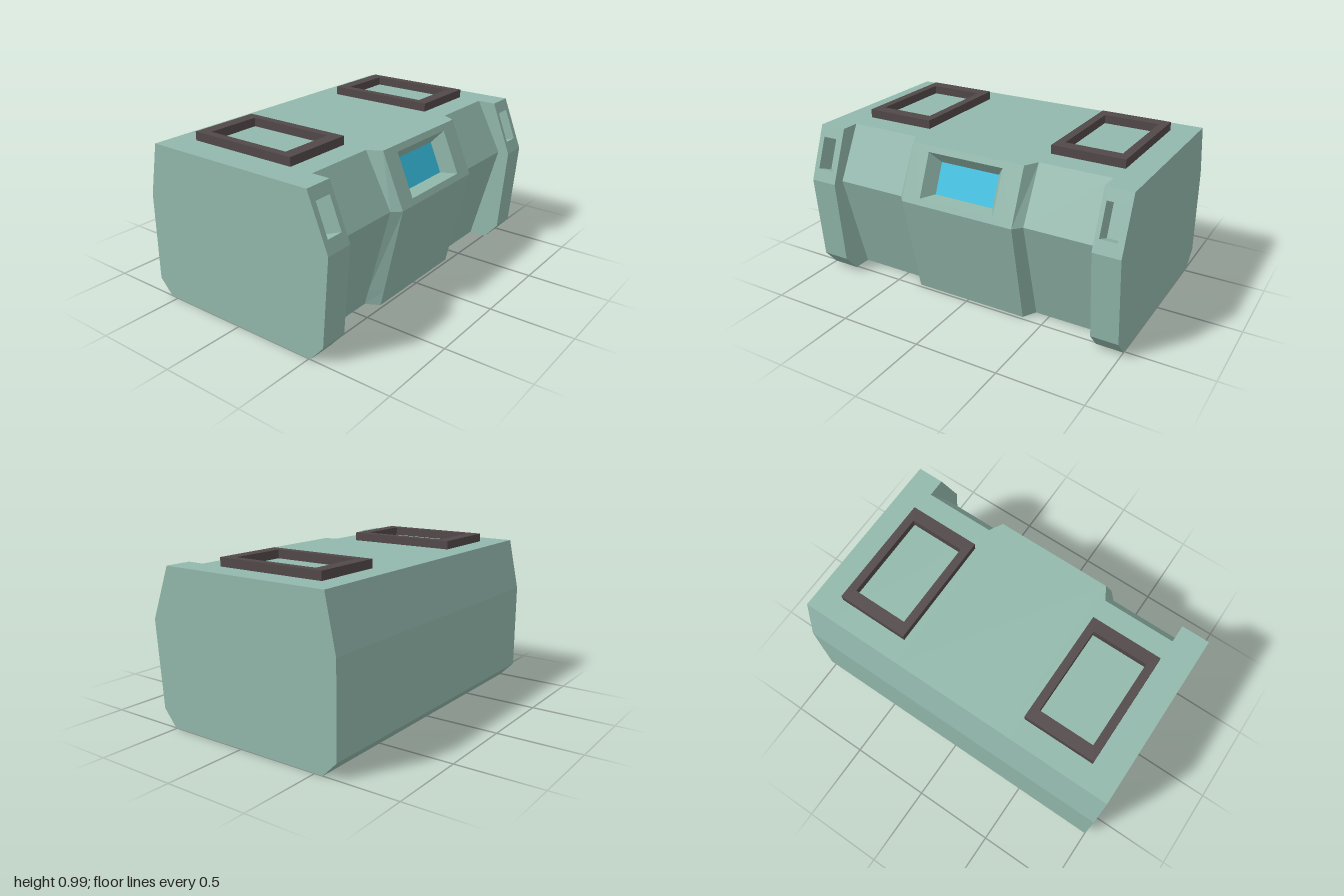
import * as THREE from 'three';

const bodyMat = new THREE.MeshStandardMaterial({ color: 0x92b8ac, flatShading: true });
const frameMat = new THREE.MeshStandardMaterial({ color: 0x524849, flatShading: true });
const glassMat = new THREE.MeshStandardMaterial({ color: 0x35bfe0, flatShading: true });

// Hull cross-section, counter-clockwise; only the +x side varies along the hull
const section = (bottom, chamfer, mid, top) => [
  [-0.55, 0], [bottom, 0], [chamfer, 0.1], [mid, 0.62],
  [top, 0.935], [-0.57, 0.935], [-0.637, 0.62], [-0.637, 0.09],
];
const END = section(0.51, 0.595, 0.635, 0.51);
const RECESS = section(0.4, 0.427, 0.565, 0.4);
const CENTRE = section(0.48, 0.502, 0.615, 0.48);
const SLOPE = 3; // edge from mid to top on the +x side

const at = (profile, i, z) => new THREE.Vector3(...profile[i % 8], z);

function quad(out, a, b, c, d) {
  for (const t of [[a, b, c], [a, c, d]]) {
    if (new THREE.Triangle(...t).getArea() > 1e-7) out.push(...t);
  }
}

function facetMesh(name, points, material) {
  const g = new THREE.BufferGeometry().setFromPoints(points);
  g.computeVertexNormals();
  const mesh = new THREE.Mesh(g, material);
  mesh.name = name;
  return mesh;
}

// Rectangle of four corners: low front, low back, high back, high front
const rect = ([xLow, yLow], [xHigh, yHigh], zf, zb) => [
  new THREE.Vector3(xLow, yLow, zf), new THREE.Vector3(xLow, yLow, zb),
  new THREE.Vector3(xHigh, yHigh, zb), new THREE.Vector3(xHigh, yHigh, zf),
];

// Point on the sloping face of a section at height y
function onSlope(profile, y) {
  const [[x0, y0], [x1, y1]] = [profile[SLOPE], profile[SLOPE + 1]];
  return [x0 + (x1 - x0) * (y - y0) / (y1 - y0), y];
}

// Sloping panel stepping inwards through a list of rectangles
function steppedPanel(out, rings) {
  for (let r = 0; r + 1 < rings.length; r++) {
    for (let m = 0; m < 4; m++) {
      const n = (m + 1) % 4;
      quad(out, rings[r][m], rings[r][n], rings[r + 1][n], rings[r + 1][m]);
    }
  }
}

export function createModel() {
  const model = new THREE.Group();
  const hull = [];

  // Hull stations from front to back
  const stations = [
    [END, 1], [END, 0.83], [RECESS, 0.83], [RECESS, 0.39], [CENTRE, 0.345],
    [CENTRE, -0.37], [RECESS, -0.415], [RECESS, -0.84], [END, -0.84], [END, -1],
  ];
  for (let s = 0; s + 1 < stations.length; s++) {
    const [[A, za], [B, zb]] = [stations[s], stations[s + 1]];
    const pierced = A === B && A !== RECESS;
    for (let i = 0; i < 8; i++) {
      if (pierced && i === SLOPE) continue;
      quad(hull, at(A, i, za), at(B, i, zb), at(B, i + 1, zb), at(A, i + 1, za));
    }
  }

  // Flat end walls
  for (let i = 1; i < 7; i++) {
    hull.push(at(END, 0, 1), at(END, i, 1), at(END, i + 1, 1));
    hull.push(at(END, 0, -1), at(END, i + 1, -1), at(END, i, -1));
  }

  // Small pockets in the corner pillars, sunk square to the slope
  for (const [zf, zb, pf, pb] of [[1, 0.83, 0.967, 0.862], [-0.84, -1, -0.865, -0.965]]) {
    const low = onSlope(END, 0.69), high = onSlope(END, 0.87);
    const sink = ([x, y]) => [x - 0.1, y - 0.04];
    const floor = rect(sink(low), sink(high), pf, pb);
    steppedPanel(hull, [
      rect(END[SLOPE], END[SLOPE + 1], zf, zb), rect(low, high, pf, pb), floor,
    ]);
    quad(hull, ...floor);
  }

  // Central window with bevelled reveal
  const pane = rect([0.515, 0.66], [0.442, 0.832], 0.18, -0.195);
  steppedPanel(hull, [
    rect(CENTRE[SLOPE], CENTRE[SLOPE + 1], 0.345, -0.37),
    rect(onSlope(CENTRE, 0.655), onSlope(CENTRE, 0.9), 0.23, -0.248),
    pane,
  ]);
  const glass = [];
  quad(glass, ...pane);

  model.add(facetMesh('hull', hull, bodyMat), facetMesh('windowPane', glass, glassMat));

  // Raised rectangular frames on the roof
  const trace = (path, x0, x1, h) =>
    path.moveTo(x0, -h).lineTo(x1, -h).lineTo(x1, h).lineTo(x0, h).closePath();
  const outline = trace(new THREE.Shape(), -0.434, 0.256, 0.217);
  outline.holes.push(trace(new THREE.Path(), -0.36, 0.182, 0.168));
  const frameGeo = new THREE.ExtrudeGeometry(outline, { depth: 0.052, bevelEnabled: false });
  frameGeo.rotateX(-Math.PI / 2);
  for (const [name, z] of [['frontRoofFrame', 0.61], ['backRoofFrame', -0.63]]) {
    const frame = new THREE.Mesh(frameGeo, frameMat);
    frame.name = name;
    frame.position.set(0, 0.934, z);
    model.add(frame);
  }
  return model;
}
